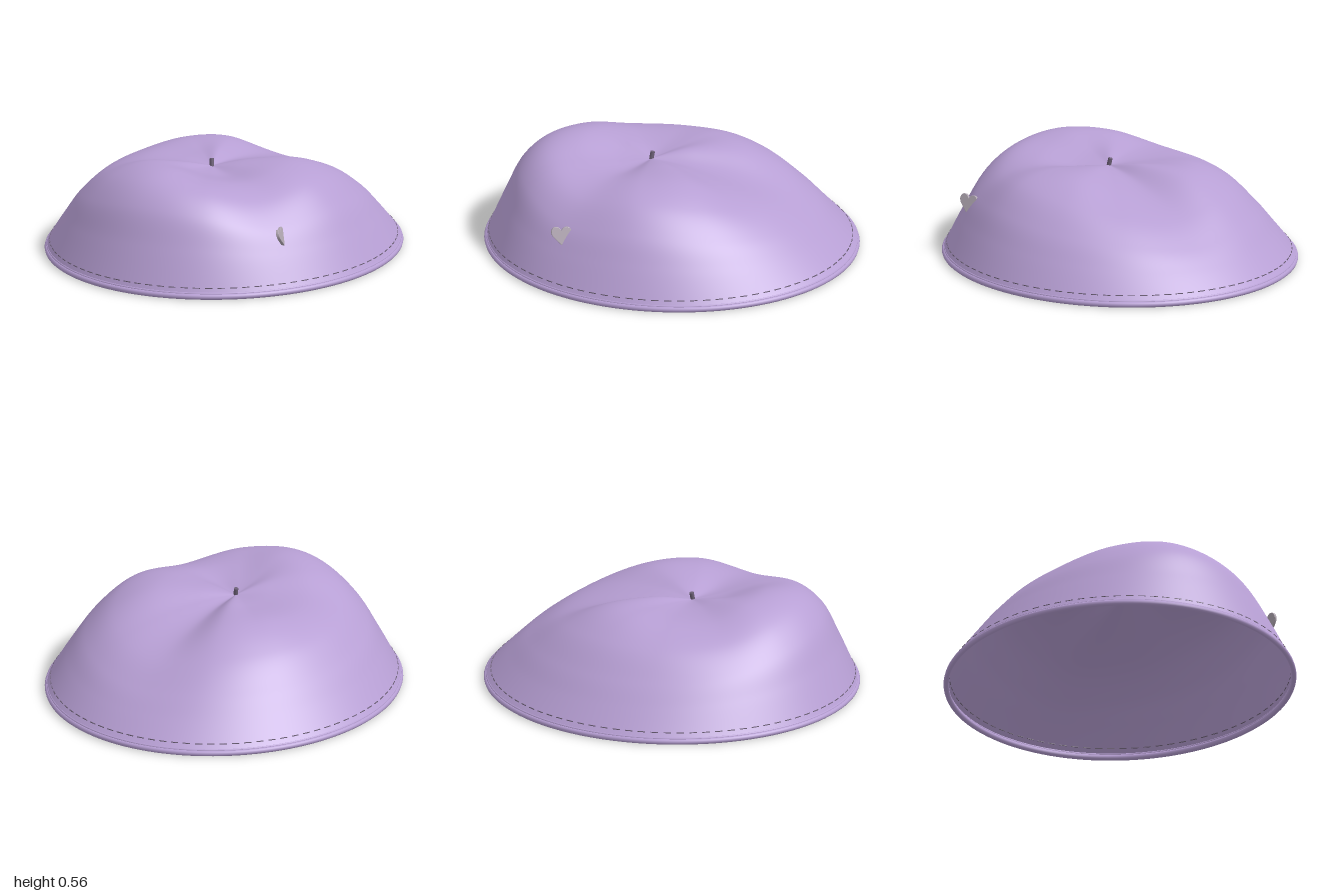
import * as THREE from 'three';

const RX = 0.984, RZ = 0.91, CX = -0.11;
// Radial stations from crown centre to rim, and cloth height at each one every 30 degrees
const STATIONS = [0, 0.2, 0.45, 0.65, 0.8, 0.9, 1];
const CENTRE_Y = 0.472, RIM_Y = 0.038;
const HEIGHTS = [
  [0.46, 0.412, 0.34, 0.237, 0.145],
  [0.475, 0.442, 0.375, 0.268, 0.16],
  [0.507, 0.51, 0.435, 0.31, 0.185],
  [0.502, 0.515, 0.467, 0.345, 0.205],
  [0.47, 0.483, 0.432, 0.322, 0.195],
  [0.48, 0.512, 0.497, 0.397, 0.235],
  [0.497, 0.555, 0.528, 0.418, 0.24],
  [0.515, 0.542, 0.487, 0.365, 0.212],
  [0.49, 0.483, 0.422, 0.305, 0.18],
  [0.483, 0.477, 0.405, 0.273, 0.16],
  [0.493, 0.497, 0.408, 0.27, 0.155],
  [0.507, 0.488, 0.39, 0.26, 0.15],
];

function catmull(a, b, c, d, u) {
  return 0.5 * (2 * b + (c - a) * u + (2 * a - 5 * b + 4 * c - d) * u * u + (3 * b - a - 3 * c + d) * u * u * u);
}

// Smooth sample of a list, wrapping round or clamped at the ends
function sample(list, s, wrap) {
  const n = list.length;
  const i = wrap ? Math.floor(s) : Math.min(Math.floor(s), n - 2);
  const at = (k) => list[wrap ? ((k % n) + n) % n : Math.min(Math.max(k, 0), n - 1)];
  return catmull(at(i - 1), at(i), at(i + 1), at(i + 2), s - i);
}

// Height profile along one azimuth
function profile(angle) {
  const a = (angle / (Math.PI * 2)) * HEIGHTS.length;
  const mid = HEIGHTS[0].map((_, k) => sample(HEIGHTS.map((row) => row[k]), a, true));
  return [CENTRE_Y, ...mid, RIM_Y];
}

function crownPoint(s, angle, heights) {
  const t = sample(STATIONS, s, false);
  return new THREE.Vector3(
    CX * (1 - t) + RX * t * Math.cos(angle),
    sample(heights, s, false),
    RZ * t * Math.sin(angle));
}

// Soft folded crown
function crownGeometry(rings, sides) {
  const positions = [], index = [];
  for (let j = 0; j < sides; j++) {
    const angle = (j / sides) * Math.PI * 2;
    const heights = profile(angle);
    for (let i = 0; i <= rings; i++) {
      positions.push(...crownPoint((i / rings) * (STATIONS.length - 1), angle, heights).toArray());
    }
  }
  const row = rings + 1;
  for (let j = 0; j < sides; j++) {
    for (let i = 0; i < rings; i++) {
      const a = j * row + i, c = ((j + 1) % sides) * row + i;
      if (i > 0) index.push(a, c, a + 1);
      index.push(a + 1, c, c + 1);
    }
  }
  const geometry = new THREE.BufferGeometry();
  geometry.setAttribute('position', new THREE.Float32BufferAttribute(positions, 3));
  geometry.setIndex(index);
  geometry.computeVertexNormals();
  return geometry;
}

// Point on the crown where it crosses a given height near the rim
function nearRim(angle, y) {
  const heights = profile(angle);
  let lo = 5, hi = 6;
  for (let k = 0; k < 20; k++) {
    const m = (lo + hi) / 2;
    if (sample(heights, m, false) > y) lo = m; else hi = m;
  }
  return crownPoint(lo, angle, heights);
}

function heartShape() {
  const s = new THREE.Shape();
  s.moveTo(0, -0.05);
  s.bezierCurveTo(-0.02, -0.025, -0.056, -0.005, -0.052, 0.022);
  s.bezierCurveTo(-0.048, 0.052, -0.01, 0.05, 0, 0.02);
  s.bezierCurveTo(0.01, 0.05, 0.048, 0.052, 0.052, 0.022);
  s.bezierCurveTo(0.056, -0.005, 0.02, -0.025, 0, -0.05);
  return s;
}

// Oval ring lying flat around the opening
function ovalRing(radius, inset, y) {
  const ring = new THREE.TorusGeometry(1, radius, 10, 128);
  ring.rotateX(Math.PI / 2);
  ring.scale(RX - inset, 1, RZ - inset);
  ring.translate(0, y, 0);
  return ring;
}

export function createModel() {
  const model = new THREE.Group();
  model.name = 'beret';
  const material = (name, color, side = THREE.FrontSide) => {
    const m = new THREE.MeshStandardMaterial({ color, side });
    m.name = name;
    return m;
  };
  const felt = material('lilacFelt', 0xb79fd4, THREE.DoubleSide);
  const thread = material('greyThread', 0x6c6076);
  const metal = material('greyBadge', 0xb3a9b4);
  const add = (name, geometry, mat, parent = model) => {
    const mesh = new THREE.Mesh(geometry, mat);
    mesh.name = name;
    parent.add(mesh);
    return mesh;
  };

  add('crown', crownGeometry(60, 144), felt);

  // Rolled oval rim, with a finer cord above it
  add('rim', ovalRing(0.016, 0, 0.016), felt);
  add('rimCord', ovalRing(0.007, 0.002, 0.032), felt);

  // Fine running stitches just above the rim
  const stitches = new THREE.Group();
  stitches.name = 'stitches';
  model.add(stitches);
  const count = 88;
  const stitch = new THREE.BoxGeometry(0.004, 0.004, 0.04);
  for (let i = 0; i < count; i++) {
    const angle = (i / count) * Math.PI * 2;
    const mesh = add('stitch', stitch, thread, stitches);
    mesh.position.copy(nearRim(angle, 0.06));
    mesh.lookAt(nearRim(angle + 0.02, 0.06));
  }

  // Short leaning stalk at the crown centre
  const stalk = add('stalk', new THREE.CylinderGeometry(0.012, 0.012, 0.05, 16), thread);
  stalk.position.set(CX, 0.486, 0);
  stalk.rotation.set(-0.15, 0, -0.15);

  // Heart pin on the front fold
  const heart = new THREE.ExtrudeGeometry(heartShape(), {
    depth: 0.01, bevelEnabled: true, bevelSize: 0.002, bevelThickness: 0.003, bevelSegments: 2, curveSegments: 12,
  });
  heart.translate(0, 0, -0.005);
  const pin = add('heartPin', heart, metal);
  pin.position.set(-0.43, 0.283, 0.678);
  pin.rotation.set(-0.3, 0.4, 0.08);

  return model;
}
